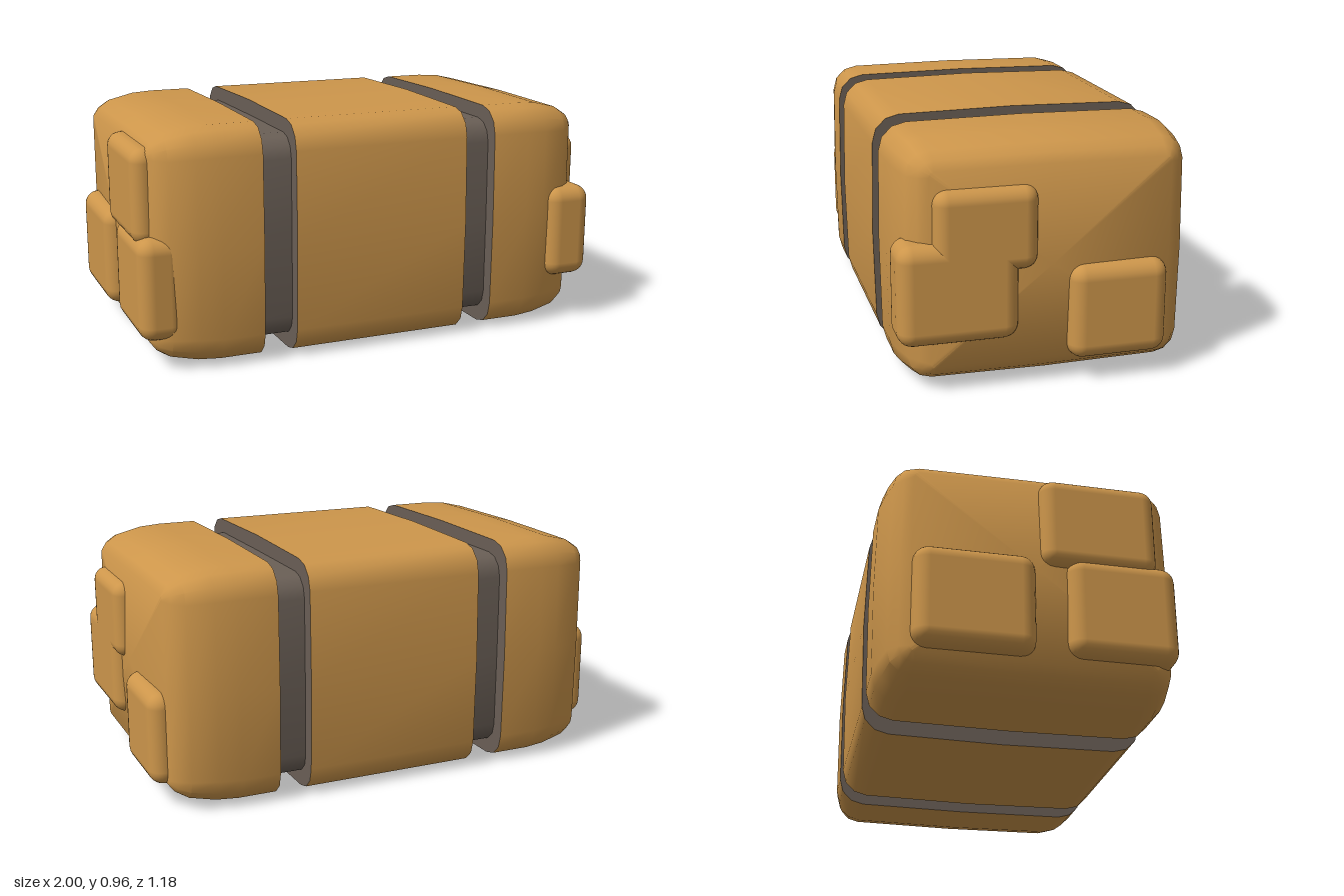
import * as THREE from 'three';
import { toCreasedNormals } from 'three/addons/utils/BufferGeometryUtils.js';
import { RoundedBoxGeometry } from 'three/addons/geometries/RoundedBoxGeometry.js';

const CY = 0.484, CZ = -0.008;

// Rounded rectangle in the z/y plane, slightly bulged at the middle of each side,
// running counter-clockwise as seen from +x.
function ring([x, hz, hy, r, bulge = 0.008]) {
  const pts = [], n = 3;
  const corners = [[1, 1], [-1, 1], [-1, -1], [1, -1]];
  const mids = [[0, 1], [-1, 0], [0, -1], [1, 0]];
  corners.forEach(([sz, sy], k) => {
    for (let i = 0; i <= n; i++) {
      const a = (k + i / n) * Math.PI / 2;
      pts.push([x, CY + sy * (hy - r) + r * Math.sin(a), CZ - sz * (hz - r) - r * Math.cos(a)]);
    }
    const [mz, my] = mids[k];
    pts.push([x, CY + my * (hy + bulge), CZ - mz * (hz + bulge)]);
  });
  return pts;
}

function fromTriangles(points, index) {
  const g = new THREE.BufferGeometry();
  g.setAttribute('position', new THREE.Float32BufferAttribute(points.flat(), 3));
  g.setIndex(index);
  return toCreasedNormals(g, 0.62);
}

// Skin through sections ordered by rising x; tipX closes one end with a shallow dome.
function loft(sections, tipX) {
  const rings = sections.map(ring), n = rings[0].length, index = [];
  const points = rings.flat();
  for (let s = 0; s < rings.length - 1; s++) {
    for (let j = 0; j < n; j++) {
      const a = s * n + j, b = s * n + (j + 1) % n;
      index.push(a, b, a + n, b, b + n, a + n);
    }
  }
  if (tipX !== undefined) {
    const c = points.length, base = tipX > 0 ? (rings.length - 1) * n : 0;
    points.push([tipX, CY, CZ]);
    for (let j = 0; j < n; j++) {
      const a = base + j, b = base + (j + 1) % n;
      index.push(c, ...(tipX > 0 ? [a, b] : [b, a]));
    }
  }
  return fromTriangles(points, index);
}

// Flat wall closing a section, facing +x or -x.
function wall(section, dir) {
  const pts = ring(section), n = pts.length, index = [];
  pts.push([section[0], CY, CZ]);
  for (let j = 0; j < n; j++) {
    const k = (j + 1) % n;
    index.push(n, ...(dir > 0 ? [j, k] : [k, j]));
  }
  return fromTriangles(pts, index);
}

export function createModel() {
  const model = new THREE.Group();
  model.name = 'segmentedBlock';
  const ochre = new THREE.MeshStandardMaterial({ color: 0xcd964b });
  ochre.name = 'ochre';
  const grey = new THREE.MeshStandardMaterial({ color: 0x6a5f56 });
  grey.name = 'warmGrey';
  const add = (name, geometry, material) => {
    const mesh = new THREE.Mesh(geometry, material);
    mesh.name = name;
    model.add(mesh);
  };

  // Middle segment
  const midL = [-0.365, 0.573, 0.474, 0.11], midR = [0.38, 0.573, 0.474, 0.11];
  add('middleSegment', loft([midL, midR]), ochre);
  add('grooveWallMiddleRight', wall(midL, -1), grey);
  add('grooveWallMiddleLeft', wall(midR, 1), grey);

  // Recessed core seen inside both grooves
  add('grooveCore', loft([[-0.51, 0.517, 0.415, 0.09, 0.002], [0.52, 0.517, 0.415, 0.09, 0.002]]), grey);

  // End segments, tapering to a shallow domed face
  const endProfile = [
    [0.51, 0.573, 0.472, 0.11, 0.006],
    [0.67, 0.573, 0.472, 0.11, 0.006],
    [0.76, 0.562, 0.468, 0.11, 0.006],
    [0.865, 0.54, 0.443, 0.09, 0.006],
    [0.91, 0.505, 0.415, 0.06, 0.004],
    [0.935, 0.468, 0.38, 0.02, 0.003],
  ];
  for (const side of [1, -1]) {
    const label = side > 0 ? 'Left' : 'Right';
    const sections = endProfile.map(([x, ...rest], i) => [side * (i ? x : side > 0 ? 0.51 : 0.5), ...rest]);
    const inner = sections[0];
    if (side < 0) sections.reverse();
    add('endSegment' + label, loft(sections, side * 0.953), ochre);
    add('grooveWallEnd' + label, wall(inner, -side), grey);
  }

  // Raised rounded pads on the end faces: [x0, x1, y0, y1, z0, z1, radius]
  const pads = {
    upperPadLeft: [0.82, 0.985, 0.473, 0.797, 0.05, 0.45, 0.055],
    frontPadLeft: [0.78, 0.985, 0.203, 0.597, 0.122, 0.587, 0.06],
    rearPadLeft: [0.82, 0.998, 0.094, 0.472, -0.465, -0.072, 0.06],
    upperPadRight: [-0.99, -0.865, 0.5, 0.88, 0.01, 0.47, 0.055],
    frontPadRight: [-0.99, -0.81, 0.13, 0.54, 0.11, 0.54, 0.06],
    rearPadRight: [-0.998, -0.82, 0.12, 0.53, -0.475, -0.01, 0.06],
  };
  for (const [name, [x0, x1, y0, y1, z0, z1, r]] of Object.entries(pads)) {
    const g = new RoundedBoxGeometry(x1 - x0, y1 - y0, z1 - z0, 3, r);
    g.translate((x0 + x1) / 2, (y0 + y1) / 2, (z0 + z1) / 2);
    add(name, g, ochre);
  }
  return model;
}
